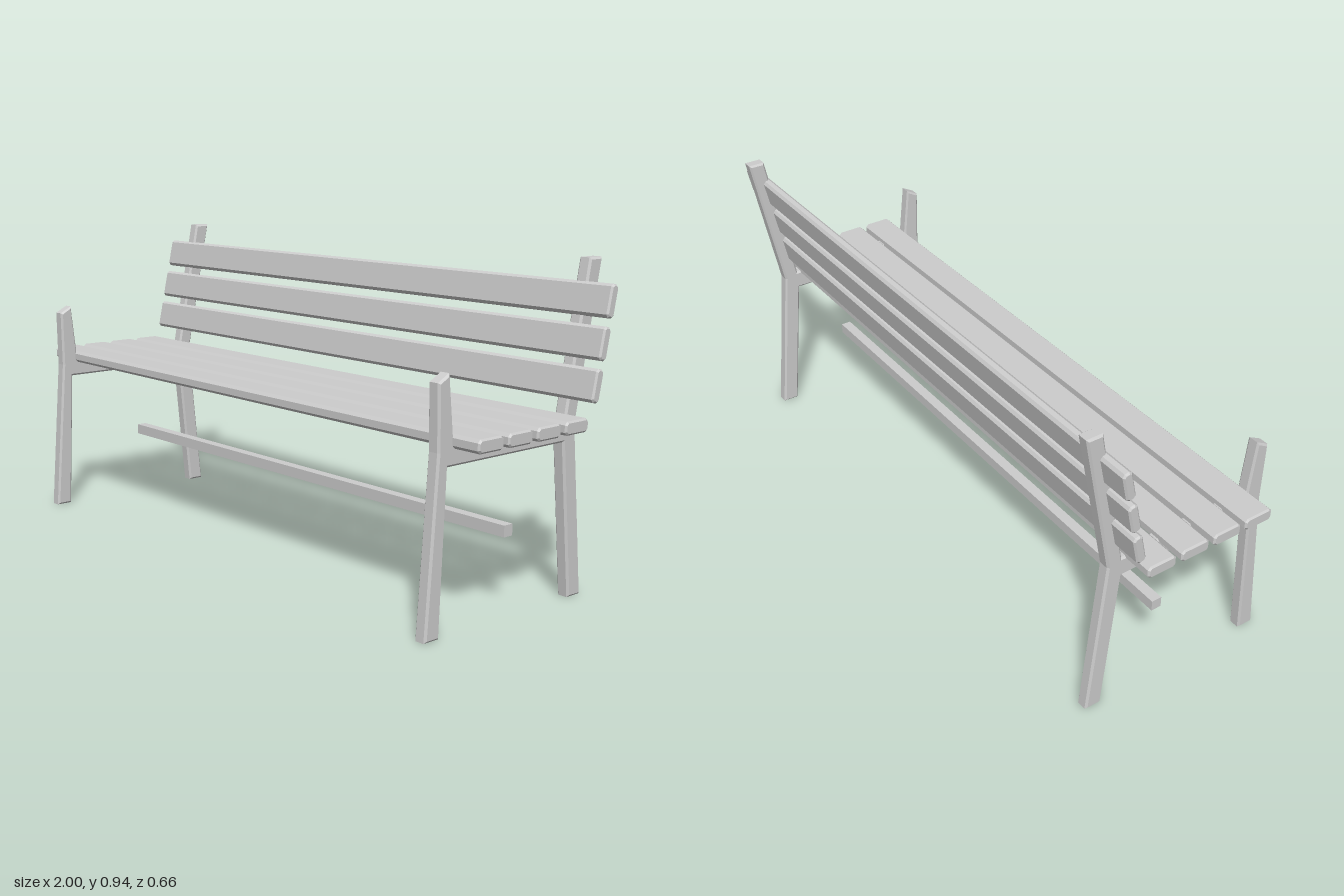
import * as THREE from 'three';

// Extrude an outline (points are [z, y]) along x, centred on x = 0, with chamfered ends
function extrudeAlongX(points, length, bevel) {
  const shape = new THREE.Shape(points.map(([z, y]) => new THREE.Vector2(z, y)));
  const depth = length - 2 * bevel;
  const geometry = new THREE.ExtrudeGeometry(shape, {
    depth, bevelEnabled: true, bevelSegments: 1,
    bevelSize: bevel, bevelThickness: bevel, bevelOffset: -bevel,
  });
  geometry.translate(0, 0, -depth / 2);
  geometry.rotateY(-Math.PI / 2);
  return geometry;
}

// Rectangle with cut corners
function chamferedRect(w, h, c) {
  const a = w / 2, b = h / 2;
  return [
    [-a + c, -b], [a - c, -b], [a, -b + c], [a, b - c],
    [a - c, b], [-a + c, b], [-a, b - c], [-a, -b + c],
  ];
}

export function createModel() {
  const bench = new THREE.Group();
  bench.name = 'bench';
  const grey = new THREE.MeshStandardMaterial({ color: 0xcccccc });
  grey.name = 'light grey';

  const add = (name, geometry, x, y, z, tilt = 0) => {
    const mesh = new THREE.Mesh(geometry, grey);
    mesh.name = name;
    mesh.position.set(x, y, z);
    mesh.rotation.x = tilt;
    bench.add(mesh);
  };

  // Side frames: legs, seat rail, front post and leaning back post in one outline
  const frame = extrudeAlongX([
    [0.333, 0], [0.28, 0], [0.26, 0.449], [-0.19, 0.449], [-0.234, 0], [-0.287, 0],
    [-0.239, 0.495], [-0.33, 0.945], [-0.278, 0.945], [-0.193, 0.51],
    [0.239, 0.51], [0.259, 0.689], [0.299, 0.668], [0.296, 0.49],
  ].reverse(), 0.04, 0.006);
  add('leftFrame', frame, 0.89, 0, 0);
  add('rightFrame', frame, -0.89, 0, 0);

  // Seat slats
  const seatSlat = extrudeAlongX(chamferedRect(0.094, 0.038, 0.009), 2, 0.005);
  [0.201, 0.09, -0.021, -0.133].forEach((z, i) => add(`seatSlat${i + 1}`, seatSlat, 0, 0.514, z));

  // Backrest slats, leaning backwards
  const backSlat = extrudeAlongX(chamferedRect(0.03, 0.092, 0.008), 2, 0.005);
  [[0.613, -0.215], [0.724, -0.239], [0.836, -0.264]].forEach(([y, z], i) =>
    add(`backSlat${i + 1}`, backSlat, 0, y, z, -0.215));

  // Stretcher bar under the seat
  add('stretcherBar', new THREE.BoxGeometry(1.74, 0.033, 0.033), 0, 0.225, -0.02);

  return bench;
}
